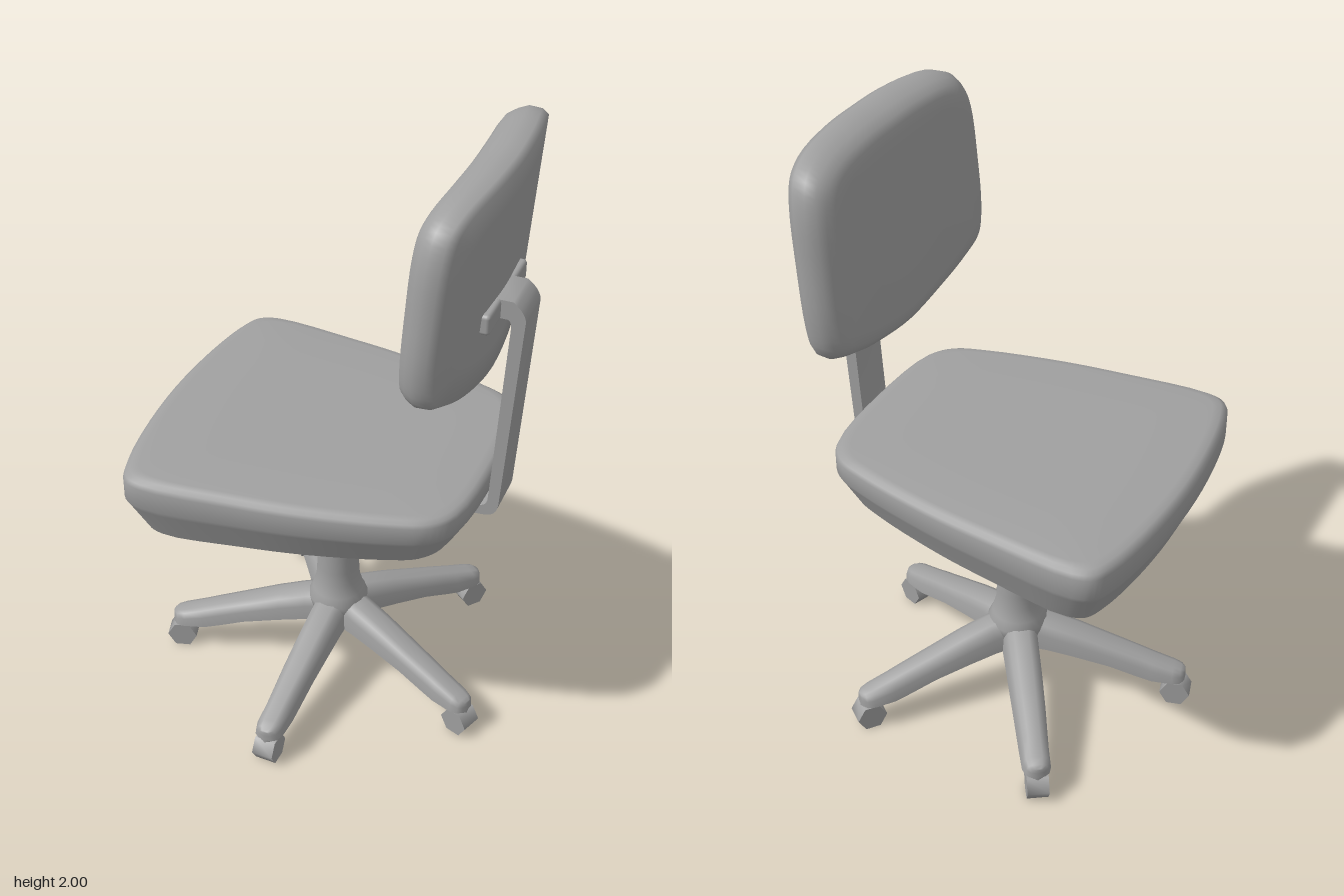
import * as THREE from 'three';
import { toCreasedNormals } from 'three/addons/utils/BufferGeometryUtils.js';
import { RoundedBoxGeometry } from 'three/addons/geometries/RoundedBoxGeometry.js';

const grey = new THREE.MeshStandardMaterial({ color: 0xa0a0a0 });
const greyDouble = new THREE.MeshStandardMaterial({ color: 0xa0a0a0, side: THREE.DoubleSide });

function mesh(name, geometry, material = grey) {
  const m = new THREE.Mesh(geometry, material);
  m.name = name;
  return m;
}

// Joins equal-length rows of points into a skin; closed wraps each row round.
function skin(rows, closed, crease) {
  const n = rows[0].length, index = [];
  for (let i = 0; i < rows.length - 1; i++) {
    for (let j = 0; j < (closed ? n : n - 1); j++) {
      const k = (j + 1) % n;
      const a = i * n + j, b = i * n + k, c = a + n, d = b + n;
      index.push(a, b, d, a, d, c);
    }
  }
  const g = new THREE.BufferGeometry();
  g.setAttribute('position', new THREE.Float32BufferAttribute(rows.flat(2), 3));
  g.setIndex(index);
  return toCreasedNormals(g, crease);
}

// Cushion: a mirrored outline scaled per layer [scale, height], put in space by place().
function cushion(half, middle, layers, crease, place) {
  const mirrored = half.slice(1, -1).reverse().map(([a, b]) => [-a, b]);
  const curve = new THREE.CatmullRomCurve3(
    [...half, ...mirrored].map(([a, b]) => new THREE.Vector3(a, b, 0)), true);
  const outline = curve.getPoints(80).slice(0, -1);
  const rows = layers.map(([s, h]) =>
    outline.map((p) => place(p.x * s, middle + (p.y - middle) * s, h)));
  return skin(rows, true, crease);
}

function seat() {
  const half = [[0, -0.578], [0.25, -0.562], [0.42, -0.53], [0.485, -0.5], [0.508, -0.44],
    [0.485, -0.15], [0.455, 0.07], [0.395, 0.33], [0.355, 0.43], [0.28, 0.485], [0, 0.51]];
  const layers = [[0, 0], [0.5, 0], [0.9, 0], [0.985, 0.48], [1, 0.56], [1, 0.87],
    [0.99, 0.94], [0.965, 0.985], [0.92, 1], [0.5, 1], [0, 1]];
  return mesh('seat', cushion(half, -0.03, layers, 0.9, (z, x, h) => {
    const bottom = 0.767 + 0.05 * Math.max(0, x + 0.36) / 0.82; // underside rises to the rear
    return [x, bottom + (0.99 - bottom) * h, z - 0.015];
  }));
}

function backrest() {
  const half = [[0, 1.3], [0.2, 1.328], [0.34, 1.37], [0.42, 1.415], [0.445, 1.5], [0.445, 1.7],
    [0.43, 1.88], [0.4, 1.95], [0.33, 1.985], [0.15, 2], [0, 2]];
  const layers = [[0, 0], [0.35, 0], [0.7, 0], [0.965, 0], [0.995, 0.15], [1, 0.45], [0.97, 0.68],
    [0.93, 0.87], [0.87, 0.97], [0.78, 1], [0.4, 1], [0, 1]];
  return mesh('backrest', cushion(half, 1.65, layers, 1.7, (z, y, h) => {
    const lean = 0.075 * (y - 1.31), bow = (z / 0.445) ** 2;
    const rear = 0.475 + lean - 0.055 * bow;
    const front = 0.336 + 0.8 * lean - 0.035 * bow;
    return [rear + (front - rear) * h, y, z - 0.038];
  }));
}

// Bent flat bar from under the seat up to the backrest, with its crossbar
function backSupport() {
  const g = new THREE.Group();
  g.name = 'backSupport';
  const s = new THREE.Shape();
  s.moveTo(0.4, 0.812);
  s.lineTo(0.5, 0.82);
  s.quadraticCurveTo(0.54, 0.825, 0.543, 0.87);
  s.lineTo(0.585, 1.53);
  s.quadraticCurveTo(0.585, 1.56, 0.545, 1.59);
  s.lineTo(0.47, 1.59);
  s.lineTo(0.47, 1.53);
  s.lineTo(0.53, 1.53);
  s.quadraticCurveTo(0.544, 1.53, 0.543, 1.5);
  s.lineTo(0.508, 0.88);
  s.quadraticCurveTo(0.505, 0.855, 0.48, 0.852);
  s.lineTo(0.4, 0.85);
  const bar = new THREE.ExtrudeGeometry(s, { depth: 0.14, bevelEnabled: false, curveSegments: 6 });
  bar.translate(0, 0, -0.1);
  g.add(mesh('supportBar', toCreasedNormals(bar, 0.9)));
  const cross = mesh('crossbar', new RoundedBoxGeometry(0.07, 0.065, 0.35, 3, 0.012));
  cross.position.set(0.475, 1.557, -0.035);
  g.add(cross);
  return g;
}

// One leg along +x: hollow arched section swept outwards, closed at the tip
function leg() {
  const sections = [ // radius, half width, bottom, top
    [0.03, 0.062, 0.19, 0.295], [0.11, 0.06, 0.185, 0.28], [0.2, 0.058, 0.17, 0.255],
    [0.32, 0.054, 0.145, 0.215], [0.41, 0.05, 0.115, 0.187], [0.46, 0.048, 0.1, 0.17],
    [0.53, 0.046, 0.097, 0.147], [0.555, 0.038, 0.097, 0.139], [0.567, 0.022, 0.097, 0.133],
    [0.57, 0, 0.097, 0.13]];
  const rows = sections.map(([r, w, b, t]) =>
    [[-1, 0], [-0.92, 0.55], [-0.72, 0.9], [-0.4, 1], [0.4, 1], [0.72, 0.9], [0.92, 0.55], [1, 0]]
      .map(([u, v]) => [r, b + (t - b) * v, w * u]));
  return mesh('leg', skin(rows, false, 1.2), greyDouble);
}

function caster() {
  const g = new THREE.Group();
  g.name = 'caster';
  const wheel = mesh('wheel', toCreasedNormals(
    new THREE.CylinderGeometry(0.05, 0.05, 0.07, 6).rotateY(Math.PI / 6).rotateX(Math.PI / 2), 1.1));
  wheel.position.y = 0.045;
  const stem = mesh('stem', new THREE.CylinderGeometry(0.028, 0.028, 0.07, 12));
  stem.position.y = 0.09;
  g.add(wheel, stem);
  g.position.x = 0.54;
  return g;
}

function base() {
  const g = new THREE.Group();
  g.name = 'base';
  g.position.set(-0.015, 0, -0.04);
  // Flared hub and lower sleeve
  const profile = [[0, 0.21], [0.065, 0.21], [0.095, 0.24], [0.1, 0.275], [0.085, 0.305],
    [0.073, 0.35], [0.07, 0.4], [0.07, 0.572], [0, 0.572]].map(([x, y]) => new THREE.Vector2(x, y));
  g.add(mesh('hub', toCreasedNormals(new THREE.LatheGeometry(profile, 24), 0.7)));
  const piston = mesh('piston', new THREE.CylinderGeometry(0.057, 0.057, 0.275, 24));
  piston.position.y = 0.6375;
  g.add(piston);
  // Five legs with casters
  for (let i = 0; i < 5; i++) {
    const arm = new THREE.Group();
    arm.name = 'legWithCaster';
    arm.rotation.y = -THREE.MathUtils.degToRad(92 + 72 * i);
    arm.add(leg(), caster());
    g.add(arm);
  }
  return g;
}

export function createModel() {
  const model = new THREE.Group();
  model.name = 'officeChair';
  model.add(base(), seat(), backSupport(), backrest());
  return model;
}
